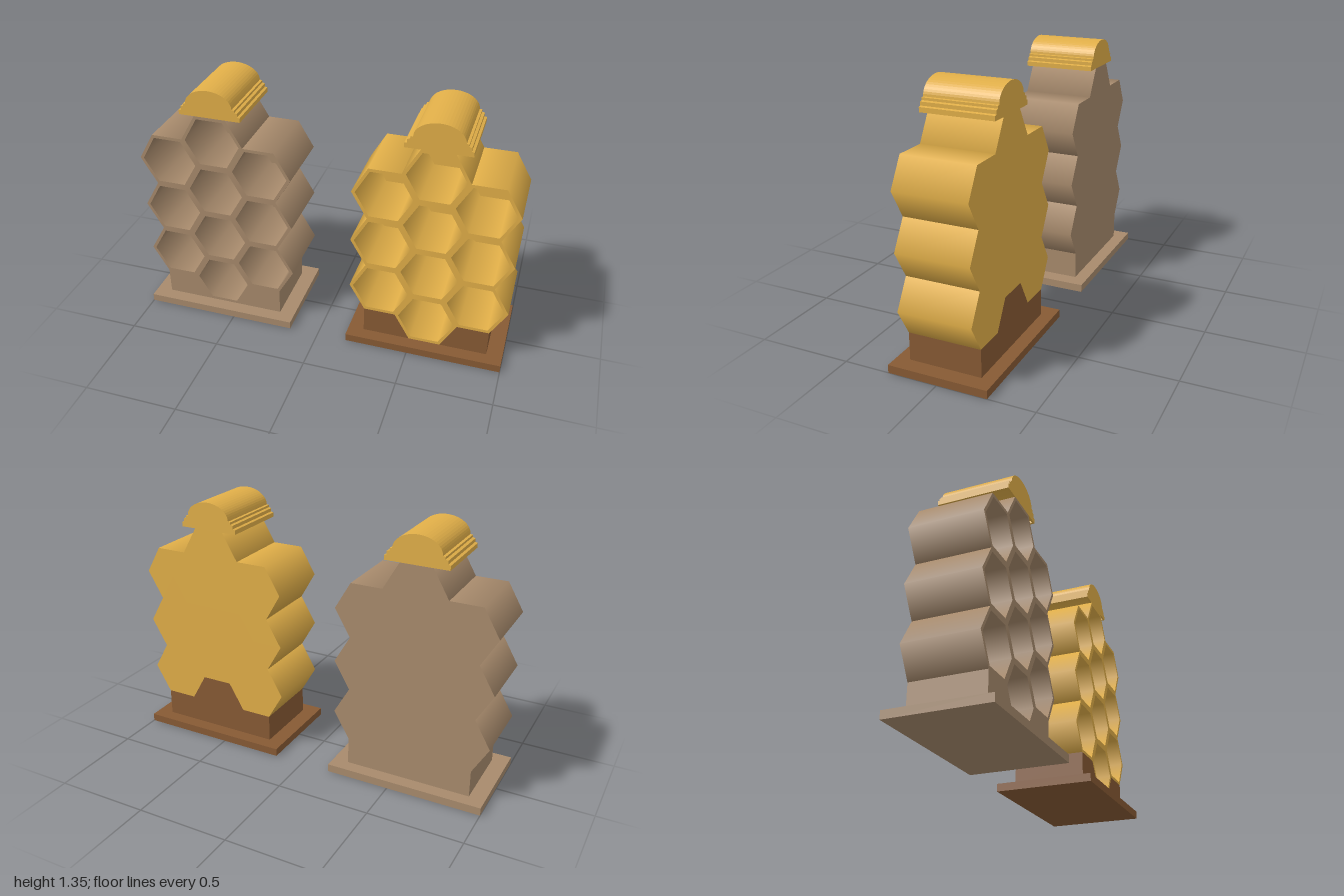
import * as THREE from 'three';
import { mergeGeometries } from 'three/addons/utils/BufferGeometryUtils.js';

const R = 0.168;                 // cell corner radius
const H = R * Math.sqrt(3);      // cell height
const D = 0.19;                  // half depth of the comb
const PLATE = 0.042;             // base plate height
const FLOOR = -0.17;             // depth of the cell floor

const mat = (name, color) => {
  const m = new THREE.MeshStandardMaterial({ color });
  m.name = name;
  return m;
};

// Six-sided band swept from one profile point to the next, axis along z
function band(r0, z0, r1, z1) {
  const g = new THREE.LatheGeometry(
    [new THREE.Vector2(r0, z0), new THREE.Vector2(r1, z1)], 6, Math.PI / 6);
  return g.rotateX(Math.PI / 2);
}

function extrude(shape, depth, z) {
  const g = new THREE.ExtrudeGeometry(shape, { depth, bevelEnabled: false, curveSegments: 20 });
  return g.translate(0, 0, z);
}

// Half outline of the stepped roof, from the outer bottom edge to the crown
function roofHalf(inset) {
  const y = PLATE + 4 * H;
  const pts = [[0.165, y], [0.165, y + 0.024], [0.152, y + 0.028], [0.152, y + 0.046],
    [0.138, y + 0.05], [0.138, y + 0.062], [0.125, y + 0.064]];
  for (let i = 1; i <= 12; i++) {
    const a = (i / 12) * Math.PI / 2;
    pts.push([0.125 * Math.cos(a), y + 0.064 + 0.084 * Math.sin(a)]);
  }
  return pts.map(([x, v], i) => new THREE.Vector2(
    Math.max(0, x - inset), i === 0 ? v : v - inset));
}

function roofOutline(inset) {
  const half = roofHalf(inset);
  const mirrored = half.slice(0, -1).reverse().map(p => new THREE.Vector2(-p.x, p.y));
  return [...half, ...mirrored];
}

function createHive(comb, base, roof) {
  const hive = new THREE.Group();
  const add = (name, geometry, material) => {
    const mesh = new THREE.Mesh(geometry, material);
    mesh.name = name;
    hive.add(mesh);
    return mesh;
  };

  // Open honeycomb cells: outer wall, front rim, inner wall, floor
  const r = R - 0.019;
  const cellFront = mergeGeometries([
    band(R, -D, R, D),
    band(R, D, r, D),
    band(r, D, r, FLOOR),
    band(r, FLOOR, 0, FLOOR)
  ]);
  const cellBack = band(0, -D, R, -D);
  for (const col of [-1, 0, 1]) {
    const count = col === 0 ? 4 : 3;
    for (let i = 0; i < count; i++) {
      const x = col * 1.5 * R;
      const y = PLATE + H * (i + (col === 0 ? 0.5 : 1));
      const lowest = col === 0 && i === 0;
      add('combCell', cellFront, comb).position.set(x, y, 0);
      add('cellBack', cellBack, lowest ? base : comb).position.set(x, y, 0);
    }
  }

  // Foot blocks that fit around the lowest cell
  for (const s of [-1, 1]) {
    const foot = new THREE.Shape([[2 * R, PLATE], [2 * R, PLATE + H / 2],
      [R, PLATE + H / 2], [R / 2, PLATE]].map(([x, y]) => new THREE.Vector2(s * x, y)));
    add('footBlock', extrude(foot, 2 * D, -D), base);
  }

  // Base plate
  const plate = add('basePlate', new THREE.BoxGeometry(5 * R, PLATE, 0.52), base);
  plate.position.y = PLATE / 2;

  // Hollow stepped roof with closed ends
  const t = 0.01;
  const shell = new THREE.Shape([...roofOutline(0), ...roofOutline(t).reverse()]);
  add('roofShell', extrude(shell, 2 * (D - t), -D + t), roof);
  const end = new THREE.Shape(roofOutline(0));
  add('roofFront', extrude(end, t, D - t), roof);
  add('roofBack', extrude(end, t, -D), roof);
  return hive;
}

export function createModel() {
  const gold = mat('honeyGold', 0xe0ae48);
  const brown = mat('woodBrown', 0x875a34);
  const tan = mat('paleTan', 0xa78a6c);

  const model = new THREE.Group();
  const offset = 1 - 2.5 * R;
  const tanHive = createHive(tan, tan, gold);
  tanHive.name = 'tanHive';
  tanHive.position.x = -offset;
  const goldHive = createHive(gold, brown, gold);
  goldHive.name = 'goldHive';
  goldHive.position.x = offset;
  model.add(tanHive, goldHive);
  return model;
}
